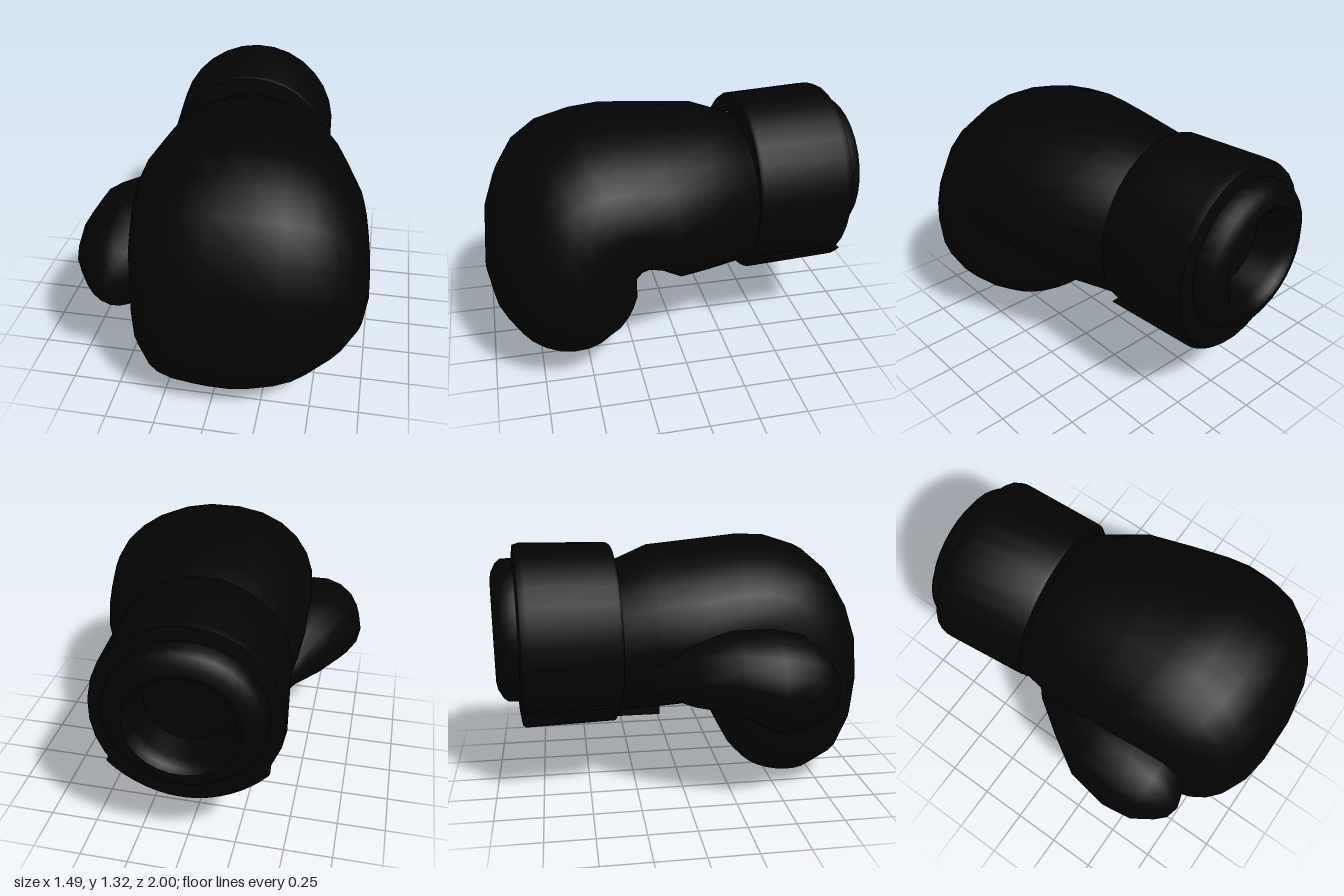
import * as THREE from 'three';
import { toCreasedNormals } from 'three/addons/utils/BufferGeometryUtils.js';

const leather = new THREE.MeshStandardMaterial({ color: 0x030303 });

// Closed skin over elliptical sections; each has a right and left x, an outer and an inner [y, z],
// and a power below 1 that squares off the -x half.
function loft(sections, sides = 26) {
  const pos = [], index = [];
  sections.forEach(([x0, x1, [yo, zo], [yi, zi], power = 1], i) => {
    for (let j = 0; j < sides; j++) {
      const a = (j / sides) * Math.PI * 2, s = Math.sin(a);
      let c = Math.cos(a);
      if (c < 0) c = -Math.pow(-c, power);
      pos.push((x0 + x1) / 2 + c * (x1 - x0) / 2,
        (yo + yi) / 2 + s * (yo - yi) / 2,
        (zo + zi) / 2 + s * (zo - zi) / 2);
      if (i === 0) continue;
      const k = (j + 1) % sides, p = (i - 1) * sides, q = i * sides;
      index.push(p + j, p + k, q + j, p + k, q + k, q + j);
    }
  });
  const g = new THREE.BufferGeometry();
  g.setAttribute('position', new THREE.Float32BufferAttribute(pos, 3));
  g.setIndex(index);
  g.computeVertexNormals();
  return g;
}

// Turned ring from [radius, depth] points, its axis running backwards
function turned(points, widthScale) {
  const g = new THREE.LatheGeometry(points.map(([r, d]) => new THREE.Vector2(r, d)), 30);
  g.rotateX(-Math.PI / 2);
  g.scale(widthScale, 1, 1);
  return toCreasedNormals(g, 0.7);
}

// Crescent panel hugging the underside of the cuff, standing proud at both ends
function palmPanel() {
  const points = [];
  for (let i = 0; i <= 16; i++) {
    const a = -Math.PI * (0.79 - 0.58 * i / 16);
    points.push(new THREE.Vector2((0.46 + 0.05 * Math.abs(Math.cos(a))) * Math.cos(a), 0.488 * Math.sin(a)));
  }
  const g = new THREE.ExtrudeGeometry(new THREE.Shape(points), { depth: 0.47, bevelEnabled: false });
  g.translate(0, 0, -0.235);
  return toCreasedNormals(g, 0.6);
}

export function createModel() {
  const group = new THREE.Group();
  const add = (name, geometry) => {
    const m = new THREE.Mesh(geometry, leather);
    m.name = name;
    group.add(m);
    return m;
  };

  // Padded hand: runs forward from the wrist, then curls down and under
  add('hand', loft([
    [-0.40, 0.40, [1.17, -0.45], [0.43, -0.45]],
    [-0.42, 0.47, [1.21, -0.33], [0.40, -0.33]],
    [-0.46, 0.575, [1.28, -0.15], [0.40, -0.13]],
    [-0.47, 0.645, [1.30, 0.12], [0.41, 0.00], 0.9],
    [-0.47, 0.68, [1.32, 0.36], [0.48, 0.09], 0.95],
    [-0.46, 0.70, [1.31, 0.52], [0.51, 0.15]],
    [-0.45, 0.715, [1.25, 0.70], [0.51, 0.18], 0.85],
    [-0.44, 0.73, [1.14, 0.83], [0.49, 0.205], 0.7],
    [-0.44, 0.74, [0.98, 0.92], [0.46, 0.215], 0.6],
    [-0.43, 0.745, [0.80, 0.98], [0.42, 0.215], 0.55],
    [-0.43, 0.725, [0.57, 1.00], [0.35, 0.21], 0.55],
    [-0.425, 0.65, [0.38, 0.975], [0.27, 0.23], 0.55],
    [-0.39, 0.52, [0.20, 0.90], [0.17, 0.285], 0.6],
    [-0.28, 0.38, [0.075, 0.78], [0.085, 0.36], 0.75],
    [-0.09, 0.20, [0.015, 0.66], [0.015, 0.47]],
    [0.05, 0.05, [0.0, 0.57], [0.0, 0.57]],
  ]));

  // Thumb: [z, centre x, centre y, half width, half height], dipping towards its tip
  add('thumb', loft([
    [-0.24, -0.38, 0.68, 0, 0],
    [-0.16, -0.38, 0.69, 0.09, 0.10],
    [0.03, -0.39, 0.705, 0.21, 0.18],
    [0.22, -0.44, 0.72, 0.275, 0.215],
    [0.43, -0.46, 0.665, 0.285, 0.265],
    [0.59, -0.48, 0.65, 0.24, 0.24],
    [0.69, -0.51, 0.63, 0.14, 0.17],
    [0.74, -0.53, 0.62, 0.07, 0.09],
    [0.76, -0.53, 0.62, 0, 0],
  ].map(([z, x, y, w, h]) => [x - w, x + w, [y + h, z], [y - h, z]]), 18));

  // Cuff, flaring slightly backwards, with its palm panel
  const cuff = add('cuff', turned([
    [0.38, -0.26], [0.468, -0.256], [0.478, -0.24], [0.49, 0.21],
    [0.48, 0.245], [0.41, 0.255], [0.30, 0.255],
  ], 0.95));
  const panel = add('palmPanel', palmPanel());
  for (const part of [cuff, panel]) {
    part.position.set(-0.012, 0.83, -0.61);
    part.rotation.y = 0.08;
  }

  // Padded lip around the shallow wrist opening
  const lip = add('lip', turned([
    [0.378, 0], [0.375, 0.06], [0.355, 0.085], [0.31, 0.11], [0.27, 0.118],
    [0.245, 0.10], [0.23, 0.05], [0.21, -0.08], [0, -0.09],
  ], 1.02));
  lip.position.set(-0.035, 0.865, -0.86);
  lip.rotation.y = 0.08;

  // Tongue and laces on the palm side of the wrist
  add('tongue', new THREE.BoxGeometry(0.2, 0.05, 0.3)).position.set(-0.03, 0.41, -0.26);
  for (let i = 0; i < 3; i++) {
    const lace = new THREE.CapsuleGeometry(0.014, 0.17, 3, 8);
    lace.rotateZ(Math.PI / 2);
    add('lace', lace).position.set(-0.03, 0.393, -0.15 - i * 0.07);
  }
  return group;
}
